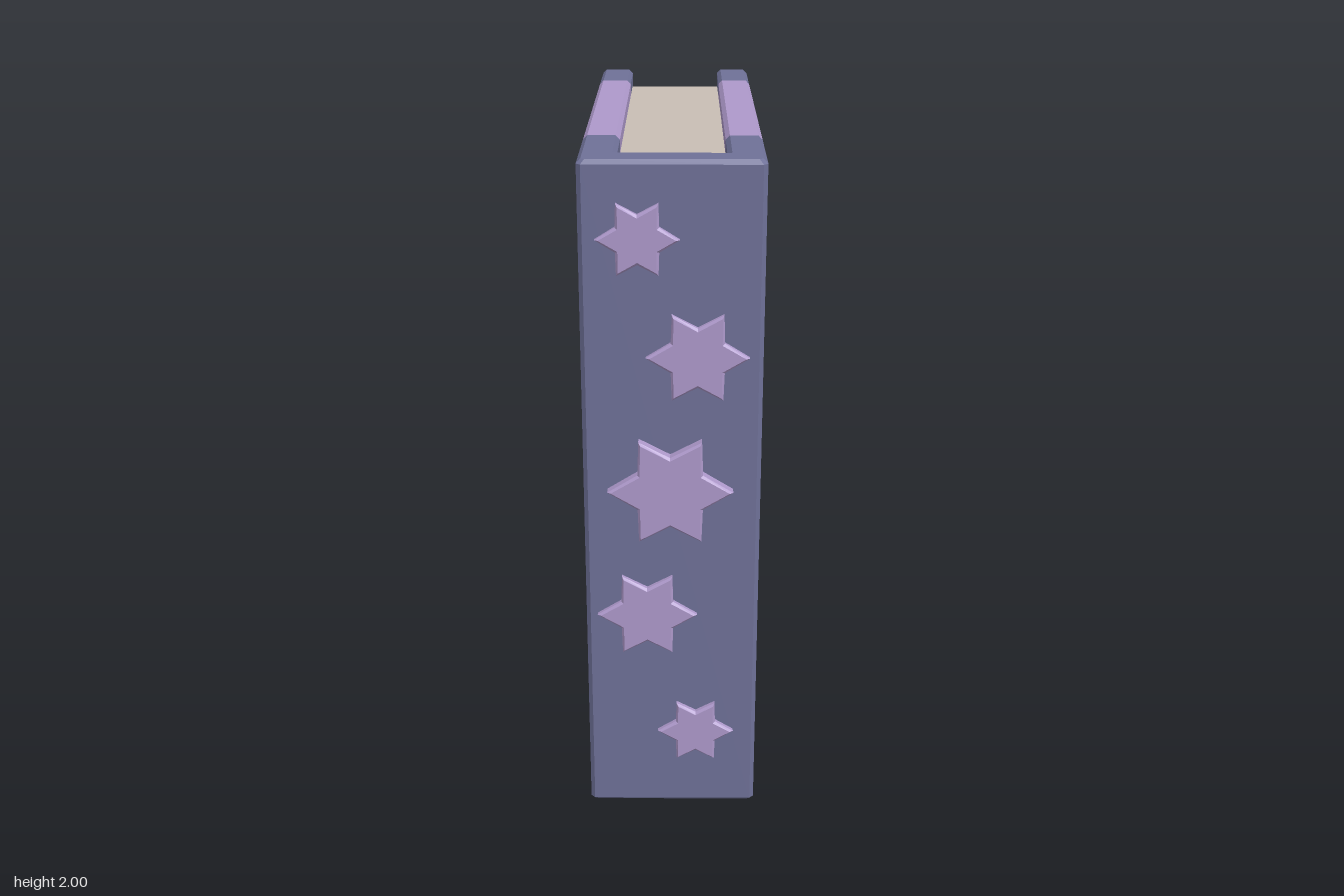
import * as THREE from 'three';
import { RoundedBoxGeometry } from 'three/addons/geometries/RoundedBoxGeometry.js';

const H = 2, BEVEL = 0.012;          // cover height and edge chamfer
const OUT_X = 0.25, IN_X = 0.147;    // outer and inner faces of the boards
const BACK_Z = -0.75, FRONT_Z = 0.716, IN_Z = 0.615;

// Chamfered rectangle spanning from the outer to the inner face of the cover
function coverRing({ outer, inner, inset = 0 }) {
  const f = BEVEL / (OUT_X - IN_X);
  const e = inset / (OUT_X - IN_X);
  const at = (t, y) => new THREE.Vector3(
    THREE.MathUtils.lerp(outer[0], inner[0], t), y,
    THREE.MathUtils.lerp(outer[1], inner[1], t));
  const lo = inset, hi = H - inset;
  return [
    at(e, lo + BEVEL), at(e, hi - BEVEL), at(e + f, hi), at(1 - e - f, hi),
    at(1 - e, hi - BEVEL), at(1 - e, lo + BEVEL), at(1 - e - f, lo), at(e + f, lo),
  ];
}

// U-shaped cover swept from the left board, round the spine, to the right board
function coverGeometry() {
  const half = [
    { outer: [OUT_X, BACK_Z], inner: [IN_X, BACK_Z], inset: BEVEL, color: 0 },
    { outer: [OUT_X, BACK_Z + BEVEL], inner: [IN_X, BACK_Z + BEVEL], color: 0 },
    { outer: [OUT_X, -0.51], inner: [IN_X, -0.51], color: 1 },
    { outer: [OUT_X, 0.4], inner: [IN_X, 0.4], color: 0 },
    { outer: [OUT_X, FRONT_Z - BEVEL], inner: [IN_X, IN_Z], color: 0 },
    { outer: [OUT_X - BEVEL, FRONT_Z], inner: [IN_X, IN_Z], color: 0 },
  ];
  const mirrored = half.map((s, i) => ({
    outer: [-s.outer[0], s.outer[1]], inner: [-s.inner[0], s.inner[1]],
    inset: s.inset, color: i > 0 ? half[i - 1].color : 0,
  })).reverse();
  const stations = [...half, ...mirrored];
  const rings = stations.map(coverRing);

  const positions = [];
  const geometry = new THREE.BufferGeometry();
  const tri = (...pts) => pts.forEach((p) => positions.push(p.x, p.y, p.z));
  const cap = (ring, flip) => {
    for (let k = 1; k < ring.length - 1; k++) {
      if (flip) tri(ring[0], ring[k + 1], ring[k]);
      else tri(ring[0], ring[k], ring[k + 1]);
    }
  };
  const addPart = (color, build) => {
    const start = positions.length / 3;
    build();
    geometry.addGroup(start, positions.length / 3 - start, color);
  };

  addPart(0, () => cap(rings[0], true));
  for (let i = 0; i < rings.length - 1; i++) {
    addPart(stations[i].color, () => {
      const a = rings[i], b = rings[i + 1];
      for (let k = 0; k < a.length; k++) {
        const n = (k + 1) % a.length;
        tri(a[k], a[n], b[n]);
        tri(a[k], b[n], b[k]);
      }
    });
  }
  addPart(0, () => cap(rings[rings.length - 1], false));

  geometry.setAttribute('position', new THREE.Float32BufferAttribute(positions, 3));
  geometry.computeVertexNormals();
  return geometry;
}

// Six-pointed star with a chamfered rim, its back sunk into the spine
function starGeometry(radius, height) {
  const pts = [];
  for (let i = 0; i < 12; i++) {
    const a = (i * Math.PI) / 6;
    const r = i % 2 ? radius * 0.6 : radius;
    pts.push(new THREE.Vector2(Math.cos(a) * r, Math.sin(a) * r));
  }
  const bevel = 0.007, sunk = 0.012;
  const geometry = new THREE.ExtrudeGeometry(new THREE.Shape(pts), {
    depth: height + sunk - 2 * bevel, bevelEnabled: true, bevelSegments: 1,
    bevelThickness: bevel, bevelSize: bevel, bevelOffset: -bevel,
  });
  geometry.translate(0, 0, bevel - sunk);
  return geometry;
}

export function createModel() {
  const navy = new THREE.MeshStandardMaterial({ color: 0x6f7198 });
  navy.name = 'dusty navy';
  const lavender = new THREE.MeshStandardMaterial({ color: 0xae99cb });
  lavender.name = 'lavender';
  const paper = new THREE.MeshStandardMaterial({ color: 0xc9beb4 });
  paper.name = 'paper';

  const book = new THREE.Group();
  book.name = 'book';

  // Cover with a lavender band across each board
  const cover = new THREE.Mesh(coverGeometry(), [navy, lavender]);
  cover.name = 'cover';
  book.add(cover);

  // Page block, set back from the cover edges
  const pageBack = -0.7, pageFront = IN_Z + 0.012;
  const pages = new THREE.Mesh(
    new RoundedBoxGeometry(2 * IN_X + 0.024, 1.9, pageFront - pageBack, 1, 0.01), paper);
  pages.name = 'pages';
  pages.position.set(0, 1, (pageBack + pageFront) / 2);
  book.add(pages);

  // Raised stars on the spine: x, y, radius, height
  const stars = [
    [-0.092, 1.79, 0.113, 0.019],
    [0.07, 1.46, 0.142, 0.019],
    [-0.005, 1.065, 0.177, 0.034],
    [-0.072, 0.665, 0.145, 0.019],
    [0.07, 0.265, 0.113, 0.019],
  ];
  stars.forEach(([x, y, radius, height], i) => {
    const star = new THREE.Mesh(starGeometry(radius, height), lavender);
    star.name = `spineStar${i + 1}`;
    star.position.set(x, y, FRONT_Z);
    book.add(star);
  });

  return book;
}
